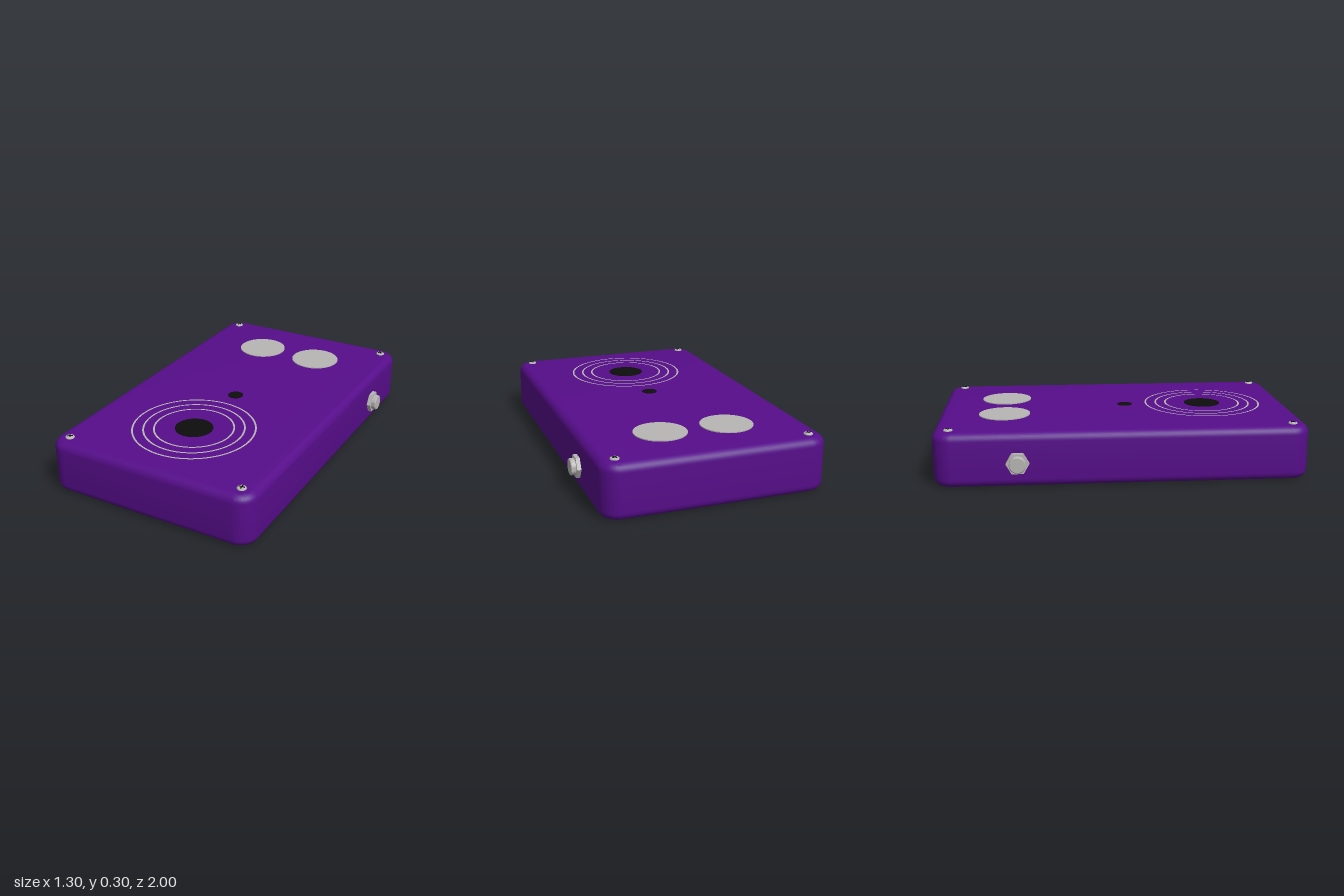
import * as THREE from 'three';
import { toCreasedNormals } from 'three/addons/utils/BufferGeometryUtils.js';

const mat = (name, color) => Object.assign(new THREE.MeshStandardMaterial({ color }), { name });

export function createModel() {
  const purple = mat('purple enamel', 0x560d8a);
  const silver = mat('silver', 0xb8b6b4);
  const black = mat('black', 0x0d0d0d);
  const model = new THREE.Group();
  model.name = 'effectPedal';
  const H = 0.293;

  const add = (parent, name, geometry, material, x = 0, y = 0, z = 0) => {
    const mesh = new THREE.Mesh(geometry, material);
    mesh.name = name;
    mesh.position.set(x, y, z);
    parent.add(mesh);
    return mesh;
  };

  // Enclosure: rounded plan, with rounded top and bottom edges
  const bevel = 0.045, r = 0.055, w = 0.6 - bevel, d = 1 - bevel;
  const plan = new THREE.Shape();
  plan.absarc(w - r, d - r, r, 0, Math.PI / 2);
  plan.absarc(-w + r, d - r, r, Math.PI / 2, Math.PI);
  plan.absarc(-w + r, -d + r, r, Math.PI, Math.PI * 1.5);
  plan.absarc(w - r, -d + r, r, Math.PI * 1.5, Math.PI * 2);
  plan.closePath();
  const body = new THREE.ExtrudeGeometry(plan, {
    depth: H - 2 * bevel, bevelThickness: bevel, bevelSize: bevel, bevelSegments: 8, curveSegments: 10,
  });
  body.rotateX(-Math.PI / 2).translate(0, bevel, 0);
  add(model, 'enclosure', toCreasedNormals(body, 0.6), purple);

  // Flat discs and rings on the top face
  const disc = (name, radius, top, material, x, z) =>
    add(model, name, new THREE.CylinderGeometry(radius, radius, 0.008, 64), material, x, top - 0.004, z);
  for (const s of [-1, 1]) disc(s > 0 ? 'leftDial' : 'rightDial', 0.142, 0.298, silver, s * 0.185, -0.635);
  disc('indicatorLight', 0.043, 0.2955, black, 0, 0.055);
  disc('footSwitch', 0.103, 0.2955, black, 0, 0.51);
  for (const radius of [0.22, 0.277, 0.336]) {
    const ring = new THREE.RingGeometry(radius - 0.01, radius, 96).rotateX(-Math.PI / 2);
    add(model, 'switchRing', ring, silver, 0, 0.2955, 0.51);
  }

  // Side jacks: hexagonal nut and chamfered barrel
  const nut = new THREE.CylinderGeometry(0.062, 0.062, 0.026, 6).toNonIndexed();
  nut.computeVertexNormals();
  const barrel = toCreasedNormals(new THREE.LatheGeometry(
    [[0.044, 0], [0.044, 0.044], [0.04, 0.048], [0, 0.048]].map(p => new THREE.Vector2(...p)), 32), 0.5);
  for (const s of [-1, 1]) {
    const jack = new THREE.Group();
    jack.name = s > 0 ? 'leftJack' : 'rightJack';
    add(jack, 'nut', nut, silver, 0, 0.009, 0);
    add(jack, 'barrel', barrel, silver);
    jack.position.set(s * 0.6, 0.134, -0.557);
    jack.rotation.z = -s * Math.PI / 2;
    model.add(jack);
  }

  // Corner screws with domed heads and cross slots
  const head = new THREE.LatheGeometry(
    [[0.024, 0], [0.024, 0.005], [0.02, 0.009], [0.012, 0.0105], [0, 0.011]].map(p => new THREE.Vector2(...p)), 24);
  const slot = new THREE.BoxGeometry(0.03, 0.003, 0.007);
  for (const [x, z, turn] of [[-1, -1, 0], [1, -1, 0.6], [-1, 1, 0.7], [1, 1, 0.1]]) {
    const screw = new THREE.Group();
    screw.name = 'screw';
    add(screw, 'screwHead', head, silver);
    add(screw, 'slot', slot, black, 0, 0.0102, 0);
    add(screw, 'crossSlot', slot, black, 0, 0.0102, 0).rotation.y = Math.PI / 2;
    screw.position.set(x * 0.515, H - 0.001, z * 0.914);
    screw.rotation.y = turn;
    model.add(screw);
  }
  return model;
}
